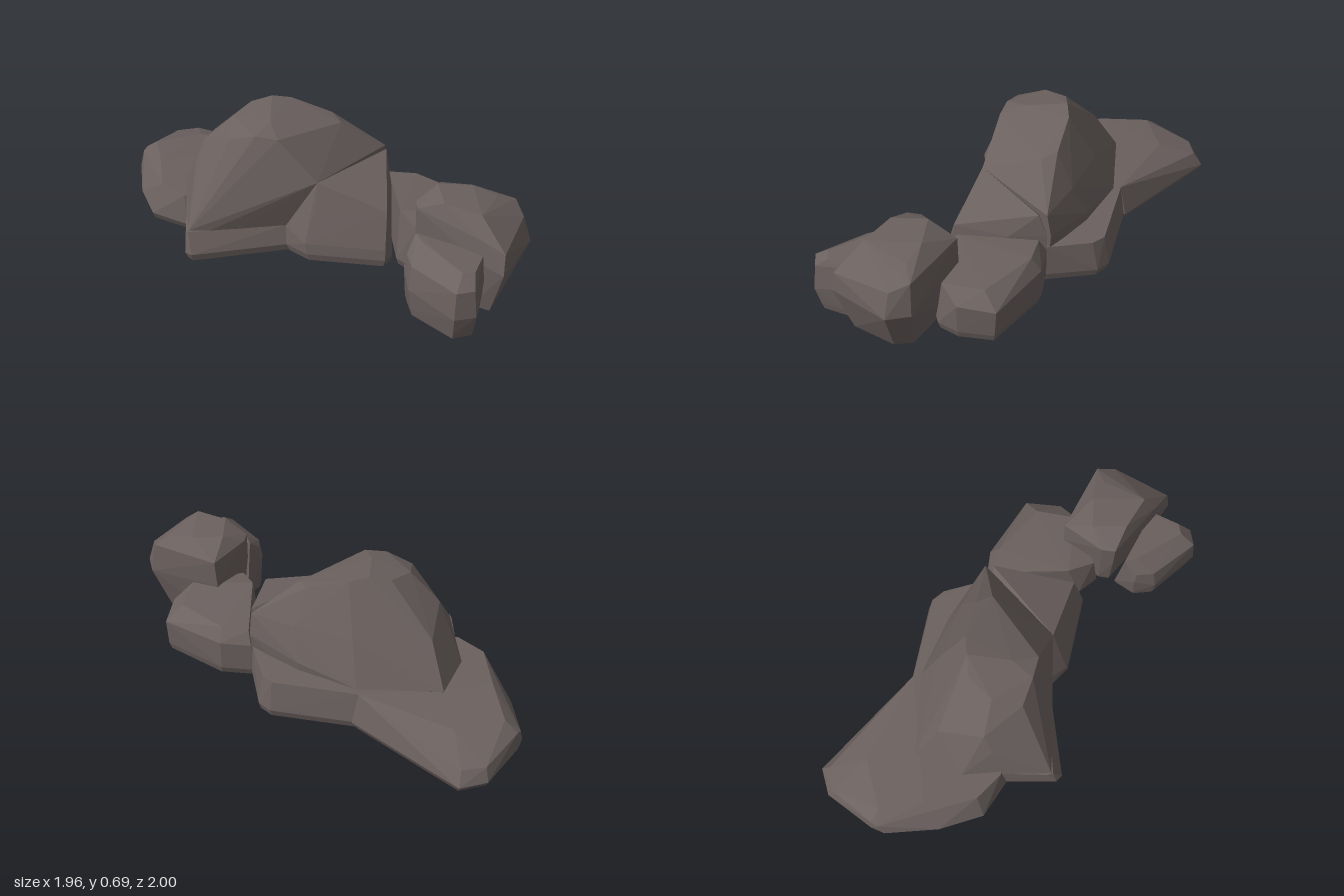
import * as THREE from 'three';
import { ConvexGeometry } from 'three/addons/geometries/ConvexGeometry.js';

export function createModel() {
  const group = new THREE.Group();
  group.name = 'rockFormation';
  const stone = new THREE.MeshStandardMaterial({ color: 0x6b615f });
  stone.name = 'stone';
  stone.flatShading = true;

  // A faceted boulder: ground outline [x, z] with an undercut foot, plus crown points [x, y, z]
  function rock(name, foot, crown, { waist = 0.04, undercut = 0.95 } = {}) {
    const cx = foot.reduce((s, p) => s + p[0], 0) / foot.length;
    const cz = foot.reduce((s, p) => s + p[1], 0) / foot.length;
    const points = crown.map((p) => new THREE.Vector3(...p));
    for (const [x, z] of foot) {
      points.push(new THREE.Vector3(x, waist, z));
      points.push(new THREE.Vector3(cx + (x - cx) * undercut, 0, cz + (z - cz) * undercut));
    }
    const mesh = new THREE.Mesh(new ConvexGeometry(points), stone);
    mesh.name = name;
    group.add(mesh);
  }

  // Low slab running out behind
  rock('tailSlab',
    [[-0.98, -0.66], [-0.95, -0.73], [-0.78, -0.96], [-0.64, -1], [-0.15, -0.55],
      [-0.1, 0.05], [-0.71, -0.03], [-0.89, -0.15], [-0.96, -0.38]],
    [[-0.96, 0.12, -0.69], [-0.94, 0.13, -0.72], [-0.77, 0.11, -0.93], [-0.65, 0.11, -0.95],
      [-0.88, 0.18, -0.68], [-0.63, 0.18, -0.75], [-0.83, 0.2, -0.18], [-0.85, 0.2, -0.45],
      [-0.71, 0.2, -0.06], [-0.18, 0.2, -0.52], [-0.12, 0.2, 0]]);

  // Low skirt below the steep front of the dome
  rock('frontSkirt',
    [[-0.68, 0.26], [-0.71, 0.23], [-0.71, -0.27], [-0.1, -0.3], [-0.1, 0.19], [-0.19, 0.2]],
    [[-0.69, 0.15, 0.21], [-0.7, 0.15, 0.18], [-0.7, 0.2, -0.27], [-0.1, 0.2, -0.3], [-0.19, 0.14, 0.17]]);

  // Right half of the base
  rock('backBase',
    [[-0.19, -0.55], [0.26, -0.46], [0.32, -0.4], [0.37, -0.14], [0.36, 0.1], [-0.2, 0.1]],
    [[-0.18, 0.2, -0.52], [0.25, 0.2, -0.43], [0.3, 0.2, -0.37], [0.36, 0.21, -0.14],
      [0.35, 0.21, 0.1], [-0.2, 0.2, 0.1]]);

  // Stepped shoulder at the front
  rock('shoulder',
    [[-0.19, 0.2], [-0.09, 0.3], [0.3, 0.39], [0.34, 0.35], [0.37, 0.1], [0.37, -0.14], [-0.15, -0.1]],
    [[-0.19, 0.14, 0.18], [-0.1, 0.1, 0.29], [0.3, 0.1, 0.385], [-0.04, 0.28, 0.25],
      [0.31, 0.295, 0.33], [0.37, 0.28, 0.05], [-0.03, 0.41, 0.21], [0.36, 0.41, -0.1],
      [0.37, 0.29, -0.14]]);

  // Main dome
  rock('dome',
    [[-0.68, 0.2], [-0.7, -0.26], [-0.6, -0.48], [-0.17, -0.46], [0.12, -0.33], [0.34, -0.15],
      [-0.16, 0.16]],
    [[-0.69, 0.15, 0.2], [-0.71, 0.2, -0.26], [-0.6, 0.2, -0.5], [-0.17, 0.2, -0.48],
      [-0.64, 0.38, -0.1], [-0.59, 0.49, -0.14], [-0.54, 0.42, -0.37], [-0.15, 0.42, -0.37],
      [0.12, 0.25, -0.34], [0.14, 0.42, -0.26], [-0.44, 0.64, -0.1], [-0.46, 0.59, 0.05],
      [-0.33, 0.63, 0.1], [-0.22, 0.62, 0.13], [-0.34, 0.665, -0.21], [-0.23, 0.69, -0.22],
      [-0.13, 0.67, -0.23], [-0.25, 0.66, 0], [0.08, 0.6, -0.18], [0.12, 0.58, -0.1],
      [0.36, 0.41, -0.14], [0.37, 0.29, -0.16], [-0.03, 0.41, 0.21], [-0.19, 0.14, 0.17]],
    { waist: 0.1 });

  // Low boulder beside the shoulder
  rock('middleBoulder',
    [[0.36, -0.14], [0.53, -0.12], [0.83, 0.09], [0.81, 0.27], [0.75, 0.37], [0.44, 0.47], [0.36, 0.37]],
    [[0.37, 0.2, -0.14], [0.53, 0.2, -0.12], [0.835, 0.19, 0.08], [0.81, 0.2, 0.27],
      [0.38, 0.27, -0.1], [0.52, 0.27, -0.07], [0.75, 0.26, 0.14], [0.71, 0.26, 0.35],
      [0.38, 0.29, 0.3], [0.44, 0.26, 0.44]]);

  // Tall boulder
  rock('tallBoulder',
    [[0.58, 0.32], [0.86, 0.47], [0.88, 0.57], [0.76, 0.79], [0.68, 0.74], [0.45, 0.54], [0.46, 0.48]],
    [[0.57, 0.28, 0.28], [0.95, 0.26, 0.46], [0.98, 0.26, 0.58], [0.785, 0.26, 0.86],
      [0.7, 0.28, 0.79], [0.42, 0.3, 0.54], [0.58, 0.43, 0.28], [0.92, 0.43, 0.46],
      [0.94, 0.39, 0.56], [0.79, 0.37, 0.84], [0.7, 0.4, 0.77], [0.42, 0.45, 0.54],
      [0.43, 0.45, 0.47], [0.54, 0.51, 0.42], [0.71, 0.5, 0.43], [0.82, 0.47, 0.49],
      [0.7, 0.5, 0.7], [0.54, 0.51, 0.6]]);

  // Small boulder in front
  rock('smallBoulder',
    [[0.36, 0.67], [0.43, 0.57], [0.7, 0.72], [0.7, 0.8], [0.64, 0.96], [0.54, 0.98], [0.37, 0.78]],
    [[0.35, 0.2, 0.66], [0.355, 0.15, 0.78], [0.535, 0.13, 1], [0.64, 0.13, 0.985],
      [0.72, 0.2, 0.77], [0.36, 0.28, 0.67], [0.37, 0.27, 0.76], [0.41, 0.35, 0.6],
      [0.54, 0.27, 0.985], [0.63, 0.27, 0.97], [0.58, 0.33, 0.91], [0.64, 0.325, 0.9],
      [0.71, 0.325, 0.76], [0.43, 0.345, 0.67]]);

  return group;
}
